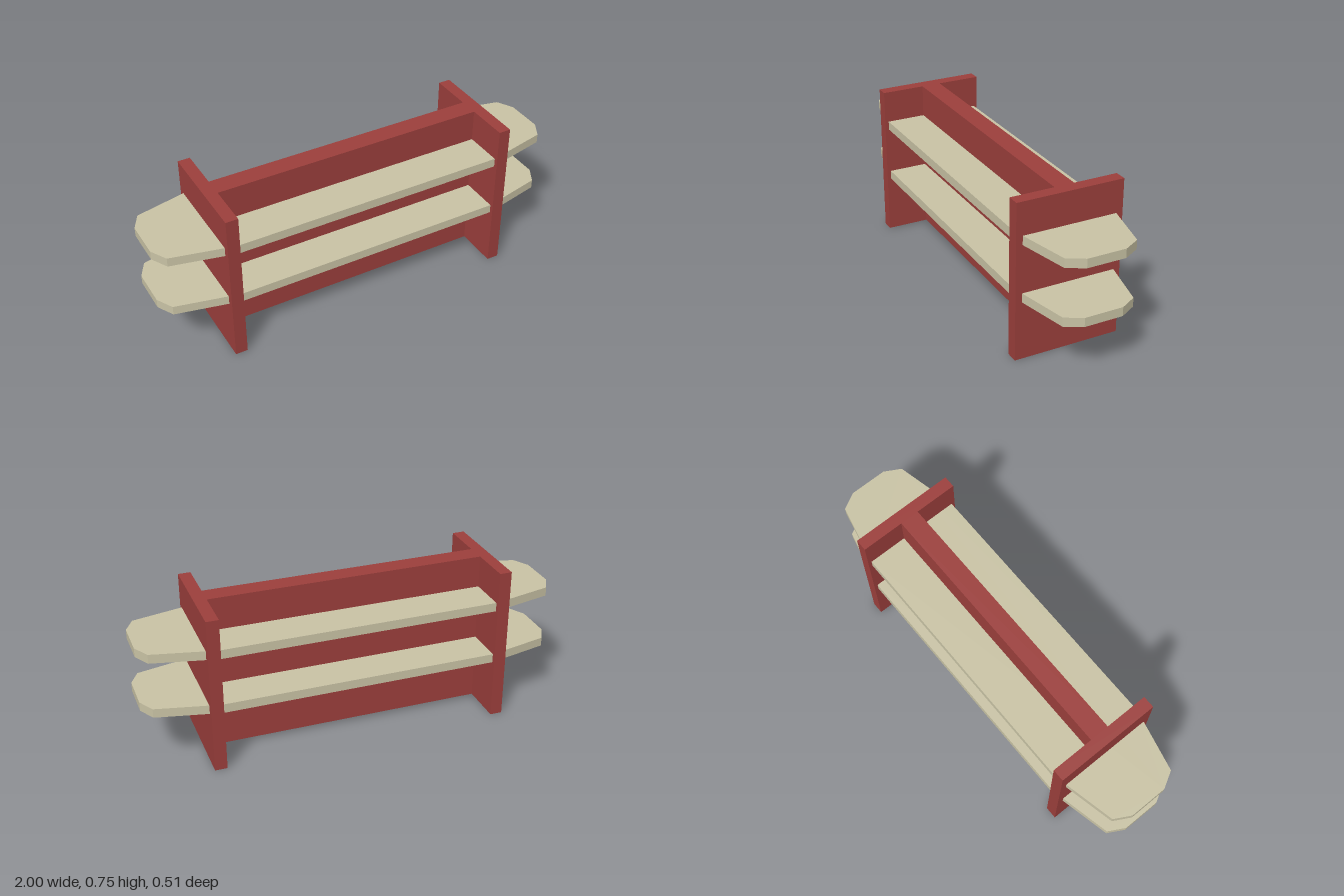
import * as THREE from 'three';

const red = new THREE.MeshStandardMaterial({ color: 0x9c3f3c, flatShading: true });
const cream = new THREE.MeshStandardMaterial({ color: 0xc9c3a5, flatShading: true });

function addPart(group, name, geometry, material, x, y, z) {
  const mesh = new THREE.Mesh(geometry, material);
  mesh.name = name;
  mesh.position.set(x, y, z);
  group.add(mesh);
}

// Long board with tapered, clipped ends, lying flat with its underside at y = 0
function boardGeometry(thickness) {
  const quarter = [[1, 0.091], [0.957, 0.169], [0.66, 0.237]];
  const back = [...quarter, ...quarter.map(([x, z]) => [-x, z]).reverse()];
  const outline = [...back, ...back.map(([x, z]) => [x, -z]).reverse()];
  const shape = new THREE.Shape(outline.map(([x, z]) => new THREE.Vector2(x, z)));
  const geometry = new THREE.ExtrudeGeometry(shape, { depth: thickness, bevelEnabled: false });
  return geometry.rotateX(-Math.PI / 2);
}

export function createModel() {
  const group = new THREE.Group();
  group.name = 'shelfUnit';
  const height = 0.75;

  // Upright end panels
  for (const [name, side] of [['leftEndPanel', 1], ['rightEndPanel', -1]]) {
    addPart(group, name, new THREE.BoxGeometry(0.058, height, 0.51), red, side * 0.688, height / 2, 0);
  }

  // Central wall between the panels
  addPart(group, 'centreWall', new THREE.BoxGeometry(1.318, height, 0.094), red, 0, height / 2, 0);

  // Two boards passing through the wall and panels
  const board = boardGeometry(0.043);
  addPart(group, 'lowerBoard', board, cream, 0, 0.281, 0);
  addPart(group, 'upperBoard', board, cream, 0, 0.552, 0);

  return group;
}
